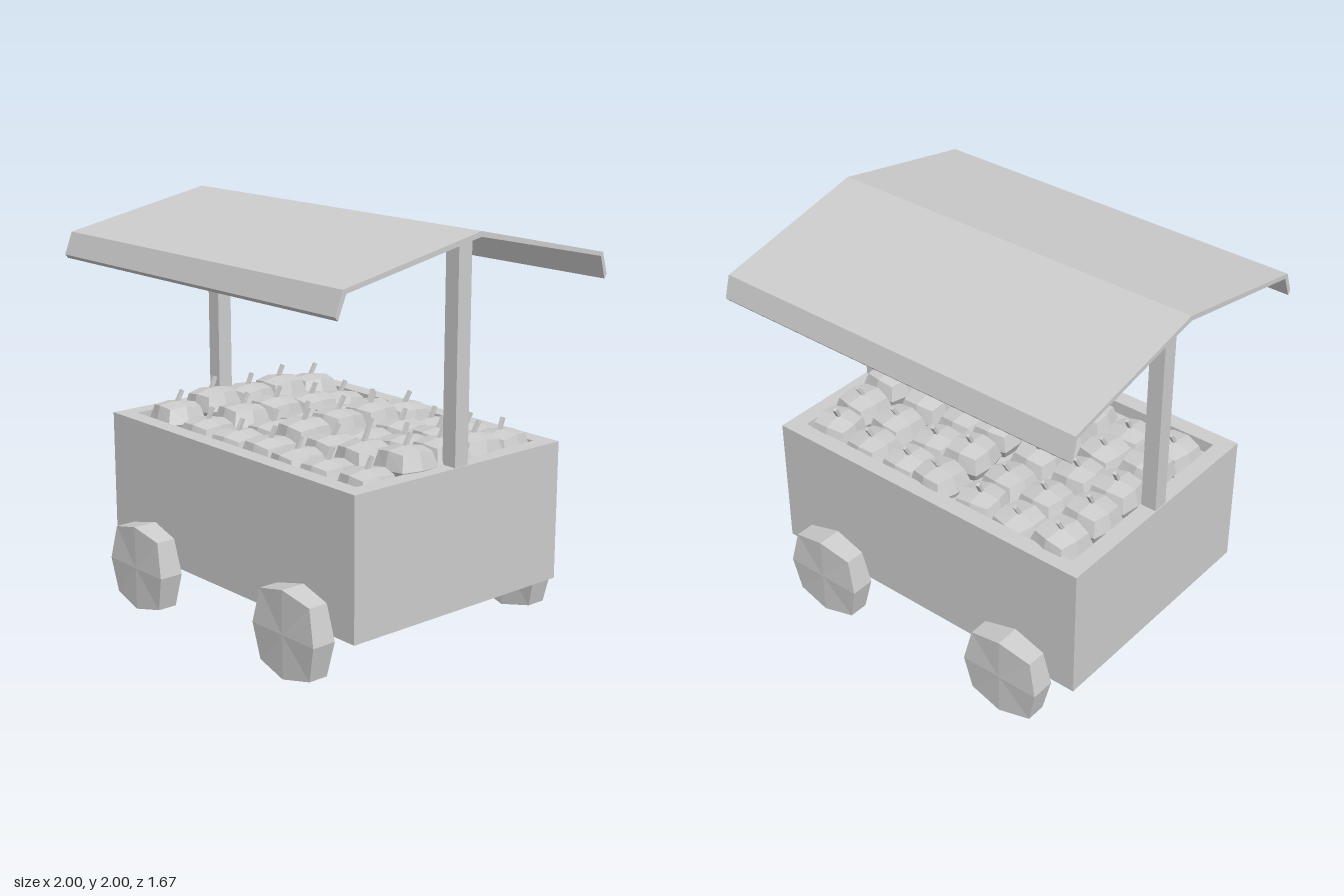
import * as THREE from 'three';

const grey = new THREE.MeshStandardMaterial({ color: 0xcccccc, flatShading: true });
grey.name = 'plain grey';

function add(parent, name, geometry, x = 0, y = 0, z = 0) {
  const mesh = new THREE.Mesh(geometry, grey);
  mesh.name = name;
  mesh.position.set(x, y, z);
  parent.add(mesh);
  return mesh;
}

// Eight-sided solid along y. Each ring is [y, half width, corner offset, corner y shift].
function loft(rings, bottomY, topY) {
  const points = [];
  const faces = [];
  for (const [y, half, corner, shift] of rings) {
    for (let i = 0; i < 8; i++) {
      const a = (i * Math.PI) / 4;
      const isCorner = i % 2 === 1;
      const r = isCorner ? corner * Math.SQRT2 : half;
      points.push(Math.cos(a) * r, y + (isCorner ? shift : 0), Math.sin(a) * r);
    }
  }
  points.push(0, bottomY, 0, 0, topY, 0);
  const bottom = rings.length * 8;
  const last = bottom - 8;
  for (let i = 0; i < 8; i++) {
    const j = (i + 1) % 8;
    for (let k = 0; k < last; k += 8) {
      faces.push(k + i, k + 8 + i, k + 8 + j, k + i, k + 8 + j, k + j);
    }
    faces.push(bottom, i, j, bottom + 1, last + j, last + i);
  }
  const geometry = new THREE.BufferGeometry();
  geometry.setAttribute('position', new THREE.Float32BufferAttribute(points, 3));
  geometry.setIndex(faces);
  geometry.computeVertexNormals();
  return geometry;
}

function rectangle(path, w, d) {
  path.moveTo(-w, -d);
  path.lineTo(w, -d);
  path.lineTo(w, d);
  path.lineTo(-w, d);
  path.closePath();
  return path;
}

function seeded(seed) {
  return () => {
    seed = (seed * 16807) % 2147483647;
    return seed / 2147483647;
  };
}

export function createModel() {
  const cart = new THREE.Group();
  cart.name = 'fruitCart';

  // Cart body with a raised rim around the tray
  const floor = 0.86;
  const top = 0.925;
  add(cart, 'body', new THREE.BoxGeometry(1.82, floor - 0.24, 1.29), 0, (floor + 0.24) / 2, 0);
  const rim = rectangle(new THREE.Shape(), 0.91, 0.645);
  rim.holes.push(rectangle(new THREE.Path(), 0.825, 0.56));
  const rimGeometry = new THREE.ExtrudeGeometry(rim, { depth: top - floor, bevelEnabled: false });
  rimGeometry.rotateX(-Math.PI / 2);
  add(cart, 'trayRim', rimGeometry, 0, floor, 0);

  // Roof posts
  for (const side of [-1, 1]) {
    add(cart, side > 0 ? 'leftPost' : 'rightPost',
      new THREE.BoxGeometry(0.08, 1.06, 0.08), side * 0.865, 1.445, 0);
  }

  // Pitched roof with drooping eaves, profile as [z, y]
  const profile = [
    [0, 2], [0.793, 1.843], [0.835, 1.735], [0.82, 1.717], [0.775, 1.824],
    [0, 1.975], [-0.79, 1.804], [-0.82, 1.695], [-0.836, 1.713], [-0.803, 1.822],
  ];
  const roof = new THREE.Shape(profile.map(([z, y]) => new THREE.Vector2(-z, y)));
  const roofGeometry = new THREE.ExtrudeGeometry(roof, { depth: 2, bevelEnabled: false });
  roofGeometry.rotateY(Math.PI / 2);
  add(cart, 'roof', roofGeometry, -1, 0, 0);

  // Chunky eight-sided wheels
  const wheelGeometry = loft(
    [[-0.0625, 0.213, 0.173, 0.012], [0.0625, 0.213, 0.173, -0.012]], -0.0625, 0.0625);
  wheelGeometry.rotateX(Math.PI / 2);
  for (const x of [-0.57, 0.57]) {
    for (const z of [-0.708, 0.708]) add(cart, 'wheel', wheelGeometry, x, 0.218, z);
  }

  // Boxy apples with leaning stems, in rows over the tray
  const appleGeometry = loft([
    [-0.1, 0.075, 0.065, 0.01],
    [0, 0.122, 0.105, 0],
    [0.085, 0.098, 0.085, -0.01],
  ], -0.1, 0.1);
  const stemGeometry = new THREE.BoxGeometry(0.018, 0.08, 0.018);
  const columns = [[-0.69, 1.035], [-0.45, 1.0], [-0.2, 0.965], [0.03, 1.025],
    [0.255, 0.98], [0.485, 1.01], [0.715, 1.03]];
  const rows = [[0.41, -0.05], [0.185, 0], [-0.03, -0.005], [-0.25, -0.01], [-0.455, -0.04]];
  const random = seeded(77);
  const apples = new THREE.Group();
  apples.name = 'apples';
  cart.add(apples);
  for (const [x, peak] of columns) {
    for (const [z, drop] of rows) {
      const apple = new THREE.Group();
      apple.name = 'apple';
      const y = Math.max(peak + drop - random() * 0.025, 0.945) - 0.1;
      apple.position.set(x + (random() - 0.5) * 0.03, y, z + (random() - 0.5) * 0.03);
      apple.rotation.set((random() - 0.5) * 0.12, (random() - 0.5) * 0.3, (random() - 0.5) * 0.12);
      add(apple, 'appleFlesh', appleGeometry);
      add(apple, 'stem', stemGeometry, 0, 0.115, -0.01).rotation.x = -0.5;
      apples.add(apple);
    }
  }
  return cart;
}
